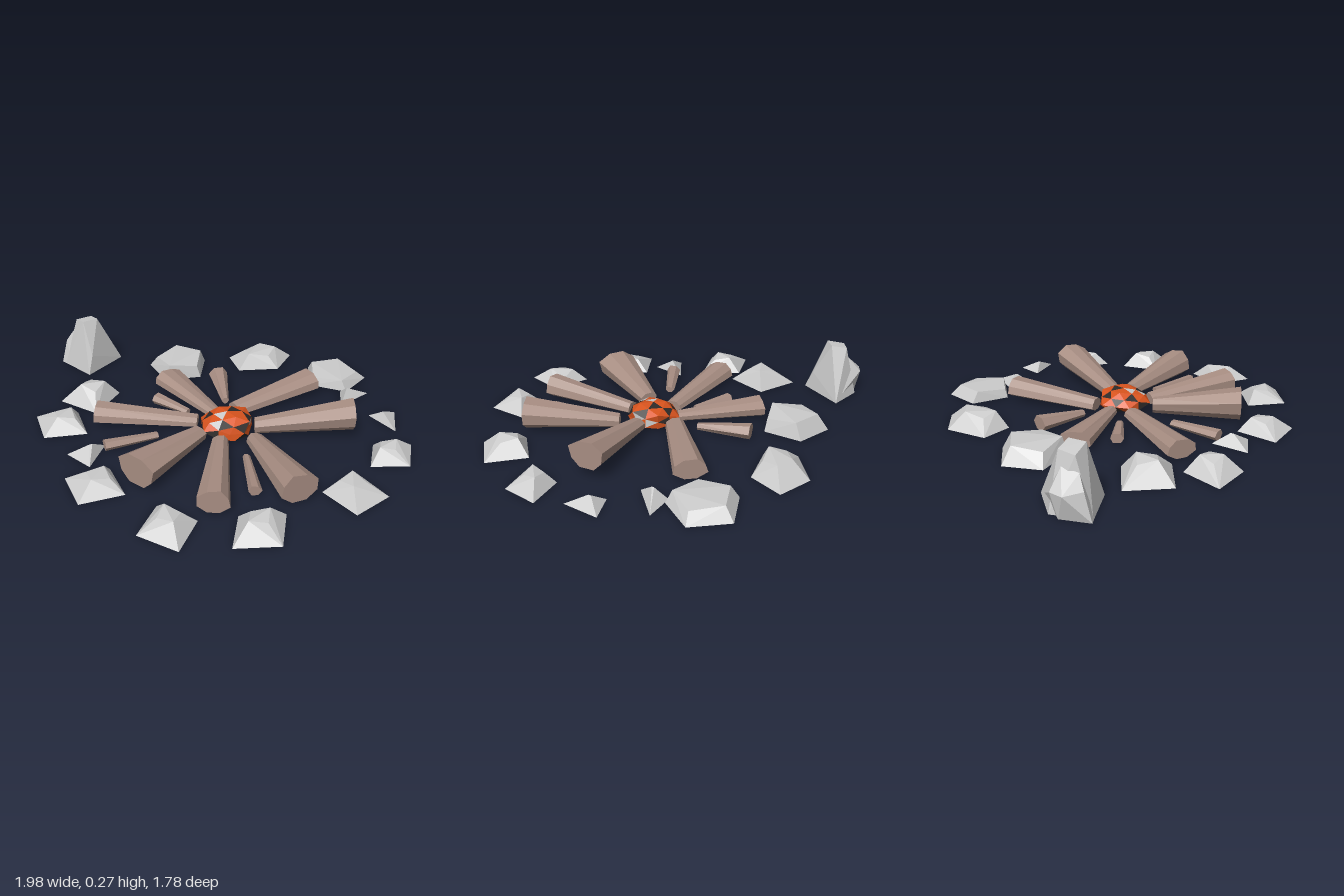
import * as THREE from 'three';
import { ConvexGeometry } from 'three/addons/geometries/ConvexGeometry.js';

const material = (color) => new THREE.MeshStandardMaterial({ color, flatShading: true });
const stoneMat = material(0xcccccc);
const woodMat = material(0xa78d82);
const emberMat = material(0xd9541e);
const coalMat = material(0x2e2a28);

function meshFrom(name, geometry, mat) {
  const mesh = new THREE.Mesh(geometry, mat);
  mesh.name = name;
  return mesh;
}

function geometryFrom(points) {
  const g = new THREE.BufferGeometry().setFromPoints(points);
  g.computeVertexNormals();
  return g;
}

// Faceted stone: an angular outline on the ground and a smaller, uneven one
// above it that leans a little towards the fire
function stone(name, sides, inset, [x, z, r1, r2, turn, height]) {
  const inward = new THREE.Vector2(0.16 - x, 0.04 - z).setLength(0.02);
  const points = [];
  for (let i = 0; i < sides; i++) {
    const t = (i / sides) * Math.PI * 2;
    const u = r1 * Math.cos(t), v = r2 * Math.sin(t);
    const dx = u * Math.cos(turn) - v * Math.sin(turn);
    const dz = u * Math.sin(turn) + v * Math.cos(turn);
    const y = height * (i % 2 ? 0.8 : 1);
    points.push(
      new THREE.Vector3(x + dx, 0.005, z + dz),
      new THREE.Vector3(x + dx * inset + inward.x, y, z + dz * inset + inward.y));
  }
  return meshFrom(name, new ConvexGeometry(points), stoneMat);
}

// Convex block from a few corners
const block = (name, corners) =>
  meshFrom(name, new ConvexGeometry(corners.map((c) => new THREE.Vector3(...c))), stoneMat);

// Grooved, tapered log from the fire [x0, z0] out to [x1, z1]
function log(name, sides, seed, [x0, z0, x1, z1, w0, w1, top0, top1, bottom1 = 0.01]) {
  const d = new THREE.Vector2(x1 - x0, z1 - z0).normalize();
  const ring = (x, z, w, lo, hi) => Array.from({ length: sides }, (_, i) => {
    const a = ((i + 0.5) / sides) * Math.PI * 2 - Math.PI / 2;
    const r = 1 - 0.16 * (0.5 + 0.5 * Math.sin(seed * 2.3 + i * 2.6));
    const u = Math.cos(a) * r * w * 0.53;
    const lift = Math.sin(a) > 0 ? r + 0.06 : 1;
    const v = (lo + hi) / 2 + Math.sin(a) * (hi - lo) * 0.53 * lift;
    return new THREE.Vector3(x + d.y * u, v, z - d.x * u);
  });
  const A = ring(x0, z0, w0, 0.015, top0);
  const B = ring(x1, z1, w1, bottom1, top1);
  const innerMid = new THREE.Vector3(x0, (0.015 + top0) / 2, z0);
  const outerMid = new THREE.Vector3(x1, (bottom1 + top1) / 2, z1);
  const tris = [];
  for (let i = 0; i < sides; i++) {
    const j = (i + 1) % sides;
    tris.push(A[i], B[j], B[i], A[i], A[j], B[j]);
    tris.push(outerMid, B[i], B[j], innerMid, A[j], A[i]);
  }
  return meshFrom(name, geometryFrom(tris), woodMat);
}

// Jagged heap with a flat underside, its faces sorted into three colours
function emberHeap() {
  const group = new THREE.Group();
  group.name = 'emberHeap';
  const p = new THREE.IcosahedronGeometry(1, 1).attributes.position;
  const embers = [], coals = [], ash = [];
  for (let f = 0; f < p.count / 3; f++) {
    const faces = f % 17 === 5 ? ash : f % 4 === 1 ? coals : embers;
    for (let k = 0; k < 3; k++) {
      const v = new THREE.Vector3().fromBufferAttribute(p, f * 3 + k);
      const bump = 1 + 0.14 * Math.sin(v.x * 9.1 + v.y * 5.3 + v.z * 7.7);
      faces.push(new THREE.Vector3(
        0.163 + v.x * 0.122 * bump,
        0.055 + Math.max(v.y * 0.07 * bump, -0.035),
        0.04 + v.z * 0.125 * bump));
    }
  }
  group.add(
    meshFrom('embers', geometryFrom(embers), emberMat),
    meshFrom('coals', geometryFrom(coals), coalMat),
    meshFrom('ash', geometryFrom(ash), stoneMat));
  return group;
}

export function createModel() {
  const model = new THREE.Group();
  model.name = 'campfire';

  const stones = new THREE.Group();
  stones.name = 'stoneRing';
  model.add(stones);

  // Each stone: x, z, two half diagonals, turn, height
  const slabs = [
    [0.11, -0.75, 0.165, 0.165, -2.1, 0.06],
    [-0.5, -0.165, 0.16, 0.165, -1.4, 0.085],
  ];
  const boulders = [
    [0.79, -0.417, 0.14, 0.11, 1.57, 0.07],
    [0.885, -0.075, 0.141, 0.141, 0.785, 0.08],
    [0.81, 0.4, 0.155, 0.125, 1.5, 0.075],
    [0.565, 0.68, 0.15, 0.13, 0.32, 0.07],
    [0.147, 0.765, 0.137, 0.15, 1.07, 0.07],
    [-0.375, 0.635, 0.13, 0.156, 1.19, 0.08],
    [-0.52, 0.385, 0.15, 0.168, 1.95, 0.095],
  ];
  const shards = [
    [0.307, -0.66, 0.067, 0.115, 3.14, 0.06],
    [0.57, -0.637, 0.11, 0.08, 0.44, 0.05],
    [-0.075, 0.669, 0.11, 0.089, -1.76, 0.06],
  ];
  slabs.forEach((s, i) => stones.add(stone(`slab${i + 1}`, 5, 0.78, s)));
  boulders.forEach((s, i) => stones.add(stone(`boulder${i + 1}`, 4, 0.4, s)));
  shards.forEach((s, i) => stones.add(stone(`shard${i + 1}`, 3, 0.08, s)));
  stones.add(stone('ridgedStone', 5, 0.5, [-0.285, -0.565, 0.185, 0.135, -1.22, 0.085]));

  // Tall upright stone with a lower shoulder
  stones.add(
    block('tallStone', [
      [-0.8, 0.005, 0.02], [-0.727, 0.005, 0.27], [-0.93, 0.005, 0.3], [-0.95, 0.005, 0.12],
      [-0.91, 0.255, 0.22], [-0.82, 0.275, 0.23], [-0.81, 0.275, 0.15], [-0.89, 0.26, 0.14],
      [-0.75, 0.1, 0.23]]),
    block('tallStoneShoulder', [
      [-0.8, 0.005, 0.03], [-0.87, 0.005, 0.29], [-0.955, 0.005, 0.305], [-0.97, 0.005, 0.17],
      [-1, 0.12, 0.2], [-0.98, 0.12, 0.14], [-0.92, 0.19, 0.24], [-0.91, 0.2, 0.16],
      [-0.95, 0.13, 0.27]]));

  // Large logs and small sticks fanning out from the embers:
  // inner x, z, outer x, z, widths, top heights, outer underside
  const wood = new THREE.Group();
  wood.name = 'firewood';
  model.add(wood);
  const logs = [
    [0.08, -0.075, 0.12, -0.55, 0.1, 0.16, 0.075, 0.115, 0.02],
    [0.26, -0.05, 0.55, -0.41, 0.09, 0.18, 0.085, 0.185, 0.05],
    [0.335, 0.02, 0.775, 0.15, 0.08, 0.18, 0.075, 0.145],
    [0.25, 0.15, 0.61, 0.48, 0.08, 0.15, 0.07, 0.12],
    [0.155, 0.2, 0.255, 0.62, 0.09, 0.21, 0.09, 0.16],
    [0.045, 0.125, -0.305, 0.475, 0.09, 0.15, 0.065, 0.1],
    [0.045, 0.015, -0.38, 0, 0.07, 0.16, 0.06, 0.095],
  ];
  const sticks = [
    [-0.025, -0.105, -0.25, -0.24, 0.035, 0.095, 0.05, 0.085],
    [-0.065, 0.1, -0.26, 0.155, 0.04, 0.07, 0.04, 0.06],
    [0.015, 0.34, -0.06, 0.585, 0.045, 0.07, 0.045, 0.06],
    [0.41, 0.13, 0.63, 0.27, 0.035, 0.06, 0.045, 0.06],
  ];
  logs.forEach((l, i) => wood.add(log(`log${i + 1}`, 8, i + 1, l)));
  sticks.forEach((s, i) => wood.add(log(`stick${i + 1}`, 6, i + 9, s)));

  model.add(emberHeap());
  return model;
}
